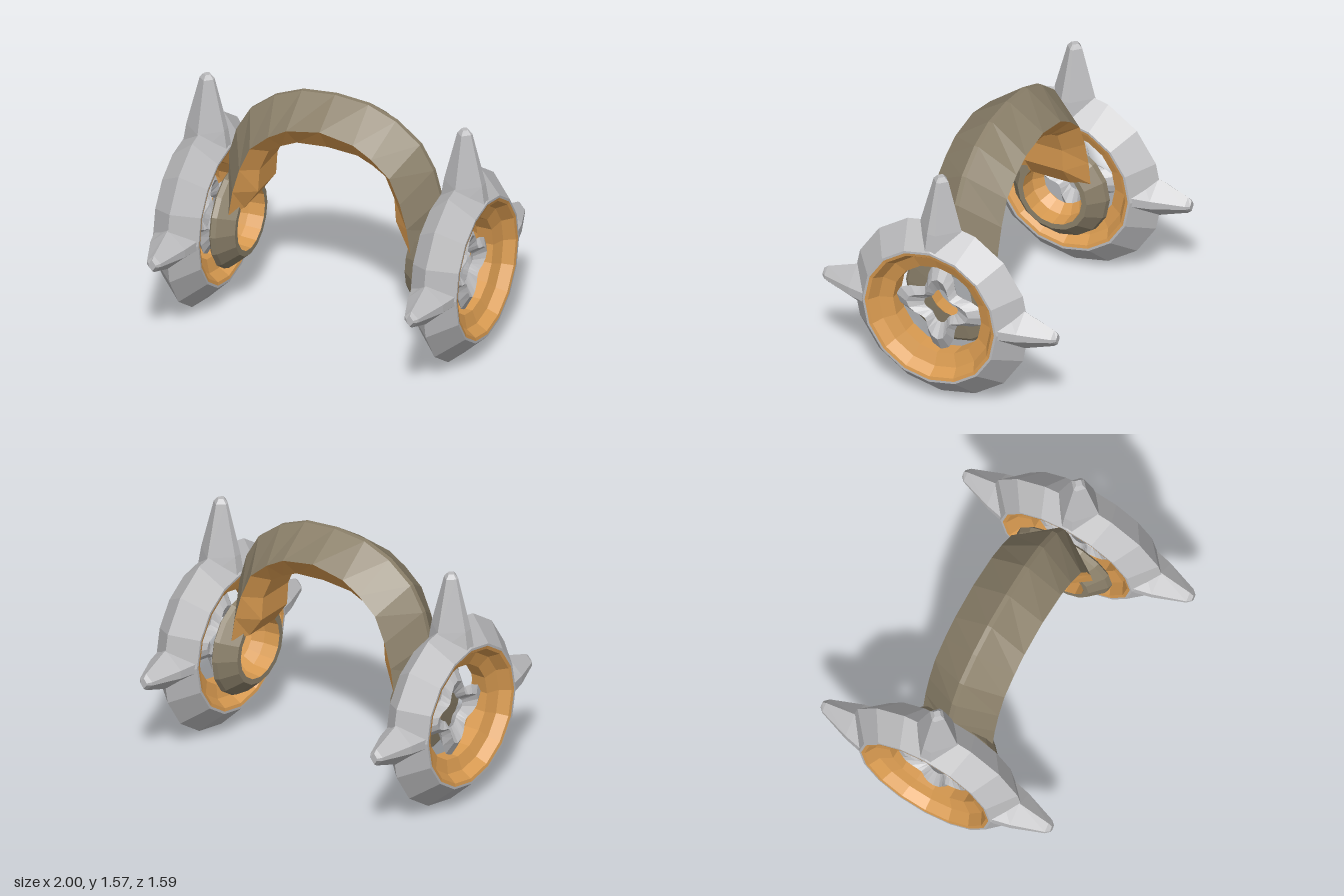
import * as THREE from 'three';

const mat = (name, color) => {
  const m = new THREE.MeshStandardMaterial({ color, flatShading: true, side: THREE.DoubleSide });
  m.name = name;
  return m;
};

// Skin a list of equal-length point rings; optionally close the rings and cap the ends.
function loft(rings, { closed = true, caps = false, loop = false } = {}) {
  const pos = [];
  const tri = (...pts) => pts.forEach((p) => pos.push(...p));
  const n = rings[0].length;
  for (let i = 0; i < rings.length - (loop ? 0 : 1); i++) {
    const a = rings[i], b = rings[(i + 1) % rings.length];
    for (let j = 0; j < (closed ? n : n - 1); j++) {
      const k = (j + 1) % n;
      tri(a[j], b[j], b[k]);
      tri(a[j], b[k], a[k]);
    }
  }
  if (caps) {
    const first = rings[0], last = rings[rings.length - 1];
    for (let j = 1; j < n - 1; j++) {
      tri(first[0], first[j], first[j + 1]);
      tri(last[0], last[j + 1], last[j]);
    }
  }
  const g = new THREE.BufferGeometry();
  g.setAttribute('position', new THREE.Float32BufferAttribute(pos, 3));
  g.computeVertexNormals();
  return g;
}

// Revolve [radius, x] points around the x axis.
const wheel = (pts) =>
  new THREE.LatheGeometry(pts.map(([r, x]) => new THREE.Vector2(r, x)), 16).rotateZ(-Math.PI / 2);

// Tapered spike pointing up from the hub; rows are [height, half x, half z].
const spike = (rows) =>
  loft(rows.map(([y, a, b]) => {
    const e = b * 0.2;
    return [[a, y, e], [a, y, -e], [0, y, -b], [-a, y, -e], [-a, y, e], [0, y, b]];
  }), { caps: true });

// Four-pointed frame with concave sides and a ridge along each face.
function starFrame() {
  const rings = [];
  const steps = 32;
  for (let i = 0; i < steps; i++) {
    const t = (i / steps) * Math.PI * 2;
    const k = Math.pow(Math.abs(Math.cos(2 * t)), 2.2);
    const outer = 0.155 + 0.15 * k, inner = 0.08 + 0.035 * k;
    const mid = (outer + inner) / 2;
    const at = (r, x) => [x, r * Math.cos(t), r * Math.sin(t)];
    rings.push([at(outer, 0), at(mid, 0.05), at(inner, 0), at(mid, -0.05)]);
  }
  return loft(rings, { loop: true });
}

export function createModel() {
  const model = new THREE.Group();
  model.name = 'spikedHeadphones';
  const grey = mat('light grey', 0xbcbcbe);
  const brown = mat('olive brown', 0x8a7f69);
  const orange = mat('warm orange', 0xd89a50);
  const add = (parent, name, geo, m) => {
    const mesh = new THREE.Mesh(geo, m);
    mesh.name = name;
    parent.add(mesh);
    return mesh;
  };

  // Ear cups, outer side along local +x
  const rim = wheel([[0.44, -0.15], [0.455, -0.15], [0.6, -0.005], [0.455, 0.15], [0.44, 0.15]]);
  const lining = wheel([[0.44, 0.15], [0.42, 0.145], [0.38, 0.08], [0.3, 0.05],
    [0.3, -0.05], [0.38, -0.08], [0.42, -0.145], [0.44, -0.15]]);
  const cushion = wheel([[0.14, -0.13], [0.31, -0.155], [0.33, -0.17], [0.32, -0.2],
    [0.235, -0.29], [0.2, -0.29]]);
  const cushionLining = wheel([[0.2, -0.29], [0.19, -0.19], [0.14, -0.13]]);
  const topSpike = spike([[0.44, 0.145, 0.17], [0.57, 0.125, 0.14], [0.895, 0.045, 0.05], [0.922, 0.022, 0.025]]);
  const sideSpike = spike([[0.44, 0.145, 0.15], [0.57, 0.115, 0.13], [0.77, 0.045, 0.055], [0.795, 0.022, 0.035]]);
  const star = starFrame();

  for (const side of [1, -1]) {
    const cup = new THREE.Group();
    cup.name = side > 0 ? 'leftEarCup' : 'rightEarCup';
    cup.position.set(0.85 * side, 0.6, 0);
    if (side < 0) cup.rotation.y = Math.PI;
    add(cup, 'rim', rim, grey);
    add(cup, 'rimLining', lining, orange);
    add(cup, 'cushion', cushion, brown);
    add(cup, 'cushionLining', cushionLining, orange);
    add(cup, 'star', star, grey);
    add(cup, 'topSpike', topSpike, grey);
    for (const s of [1, -1]) add(cup, 'sideSpike', sideSpike, grey).rotation.x = (s * Math.PI) / 2;
    model.add(cup);
  }

  // Headband stations from the crown to one end: outer ridge, side edge, inner face as [x, y]
  const half = [
    [[0, 1.573], [0, 1.425], [0, 1.275]],
    [[0.22, 1.553], [0.22, 1.385], [0.2, 1.26]],
    [[0.4, 1.48], [0.34, 1.315], [0.3, 1.215]],
    [[0.56, 1.355], [0.46, 1.21], [0.385, 1.16]],
    [[0.65, 1.2], [0.53, 1.05], [0.445, 1.02]],
    [[0.7, 1.02], [0.575, 0.89], [0.455, 0.87]],
    [[0.7, 0.8], [0.6, 0.73], [0.545, 0.74]],
  ];
  const mirrored = half.slice(1).reverse().map((s) => s.map(([x, y]) => [-x, y]));
  const stations = [...mirrored, ...half];
  const w = 0.24, v = 0.13;
  const shell = stations.map(([o, e]) => [[...e, w], [...o, 0.015], [...o, -0.015], [...e, -w]]);
  const inside = stations.map(([, e, i]) => [[...e, -w], [...i, -v], [...i, v], [...e, w]]);
  const band = new THREE.Group();
  band.name = 'headband';
  add(band, 'bandShell', loft(shell, { closed: false, caps: true }), brown);
  add(band, 'bandLining', loft(inside, { closed: false, caps: true }), orange);
  model.add(band);

  return model;
}
